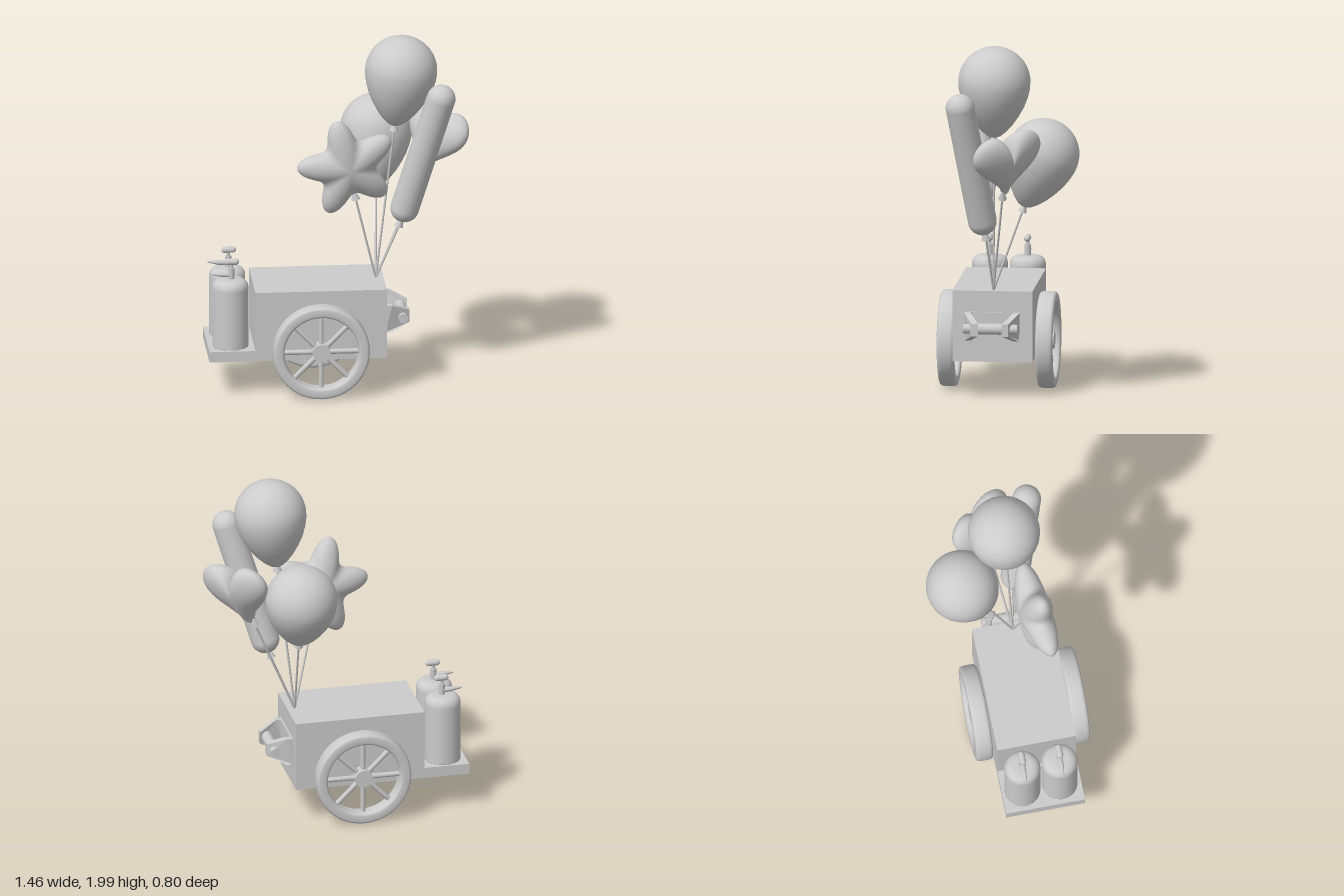
import * as THREE from 'three';
import { mergeVertices } from 'three/addons/utils/BufferGeometryUtils.js';

const mat = new THREE.MeshStandardMaterial({ color: 0xcccccc });
const V = (x, y, z) => new THREE.Vector3(x, y, z);
const UP = V(0, 1, 0);
const MID_Z = 0.077; // centre line of the cart
const ANCHOR = V(0.2, 0.605, 0.075); // where the strings meet

function add(parent, name, geometry, x = 0, y = 0, z = 0) {
  const mesh = new THREE.Mesh(geometry, mat);
  mesh.name = name;
  mesh.position.set(x, y, z);
  parent.add(mesh);
  return mesh;
}

function group(parent, name, x = 0, y = 0, z = 0) {
  const g = new THREE.Group();
  g.name = name;
  g.position.set(x, y, z);
  parent.add(g);
  return g;
}

function box(parent, name, x0, x1, y0, y1, z0, z1) {
  return add(parent, name, new THREE.BoxGeometry(x1 - x0, y1 - y0, z1 - z0),
    (x0 + x1) / 2, (y0 + y1) / 2, (z0 + z1) / 2);
}

// Cylinder or cone between two points
function rod(parent, name, a, b, ra, rb = ra, sides = 16) {
  const mesh = add(parent, name, new THREE.CylinderGeometry(rb, ra, a.distanceTo(b), sides));
  mesh.position.copy(a).lerp(b, 0.5);
  mesh.quaternion.setFromUnitVectors(UP, b.clone().sub(a).normalize());
  return mesh;
}

const lathe = (pts, sides = 32) =>
  new THREE.LatheGeometry(pts.map(([r, y]) => new THREE.Vector2(r, y)), sides);

// Spoked wheel with a fat rounded tyre
function wheel(parent, name, z) {
  const g = group(parent, name, -0.125, 0.275, z);
  const section = [];
  const sq = (v) => Math.sign(v) * Math.sqrt(Math.abs(v));
  for (let i = 0; i <= 24; i++) {
    const a = (i / 24) * Math.PI * 2;
    section.push([0.237 + 0.032 * sq(Math.cos(a)), 0.048 * sq(Math.sin(a))]);
  }
  add(g, 'tyre', lathe(section, 48)).rotation.x = Math.PI / 2;
  rod(g, 'hub', V(0, 0, -0.035), V(0, 0, 0.035), 0.05, 0.05, 24);
  for (let i = 0; i < 8; i++) {
    const a = (i * Math.PI) / 4;
    rod(g, 'spoke', V(0, 0, 0), V(0.215 * Math.cos(a), 0.215 * Math.sin(a), 0), 0.014, 0.014, 10);
  }
}

// Gas bottle with valve, nozzle and tap handle
function gasBottle(parent, z) {
  const g = group(parent, 'gasBottle', -0.615, 0.27, z);
  add(g, 'tank', lathe([[0, 0], [0.1, 0], [0.1, 0.002], [0.1, 0.335], [0.1, 0.343], [0.096, 0.36],
    [0.086, 0.374], [0.07, 0.384], [0.05, 0.388], [0, 0.388]]));
  rod(g, 'valve', V(0.005, 0.38, 0), V(0.005, 0.45, 0), 0.018);
  rod(g, 'stem', V(0.005, 0.44, 0), V(0.005, 0.485, 0), 0.01);
  rod(g, 'nozzle', V(0, 0.41, 0), V(-0.055, 0.412, 0), 0.014);
  rod(g, 'nozzleTip', V(-0.05, 0.412, 0), V(-0.108, 0.417, 0), 0.014, 0.005);
  const handle = add(g, 'tapHandle', new THREE.CapsuleGeometry(0.018, 0.045, 6, 16), 0.008, 0.485, 0);
  handle.rotation.z = Math.PI / 2;
}

// Tow hitch: two inward-leaning lugs holding a cross bar
function hitch(parent) {
  const g = group(parent, 'hitch', 0.24, 0.412, MID_Z);
  box(g, 'hitchPlate', 0, 0.012, -0.078, 0.078, -0.152, 0.152);
  const side = new THREE.Shape([[0, -0.077], [0.04, -0.077], [0.14, -0.035],
    [0.14, 0.035], [0.04, 0.077], [0, 0.077]].map(([x, y]) => new THREE.Vector2(x, y)));
  for (const s of [-1, 1]) {
    const geo = new THREE.ExtrudeGeometry(side, { depth: 0.036, bevelEnabled: false });
    geo.translate(0, 0, s > 0 ? 0.116 : -0.152);
    const p = geo.attributes.position;
    for (let i = 0; i < p.count; i++) {
      p.setZ(i, p.getZ(i) - s * 0.05 * Math.max(0, (p.getX(i) - 0.04) / 0.1));
    }
    geo.computeVertexNormals();
    add(g, 'hitchLug', geo);
    rod(g, 'hitchKnob', V(0.1, 0, s * 0.09), V(0.1, 0, s * 0.15), 0.027);
  }
  rod(g, 'hitchBar', V(0.1, 0, -0.1), V(0.1, 0, 0.1), 0.031);
}

// Pear-shaped balloon body, origin at its widest level
function roundBody() {
  const pts = [];
  for (const [r, y] of [[0.012, -0.32], [0.04, -0.308], [0.072, -0.28], [0.106, -0.24],
    [0.139, -0.19], [0.166, -0.14], [0.186, -0.085], [0.197, -0.04]]) pts.push([r, y]);
  for (let i = 0; i <= 14; i++) {
    const a = (i / 14) * Math.PI / 2;
    pts.push([0.2 * Math.cos(a), 0.198 * Math.sin(a)]);
  }
  return lathe(pts, 40);
}

// Foil balloon body: a sphere reshaped to a counter-clockwise outline
function foilBody(outline, halfThickness) {
  const geo = new THREE.SphereGeometry(1, 100, 32);
  const p = geo.attributes.position, uv = geo.attributes.uv;
  for (let i = 0; i < p.count; i++) {
    const [x, y] = outline(uv.getX(i) * Math.PI * 2);
    const c = p.getY(i), s = Math.sqrt(Math.max(0, 1 - c * c));
    p.setXYZ(i, x * s, y * s, c * halfThickness);
  }
  geo.deleteAttribute('uv');
  geo.deleteAttribute('normal');
  const smooth = mergeVertices(geo, 1e-5);
  smooth.computeVertexNormals();
  return smooth;
}

function star(t) {
  const r = 0.165 + 0.122 * Math.pow((1 + Math.cos(5 * t)) / 2, 1.25);
  return [-r * Math.sin(t), r * Math.cos(t)];
}

function heart(t) {
  const k = 0.0135;
  return [-16 * k * Math.sin(t) ** 3,
    k * (13 * Math.cos(t) - 5 * Math.cos(2 * t) - 2 * Math.cos(3 * t) - Math.cos(4 * t))];
}

// Balloon leaning along dir, its knot lying `drop` below the centre, tied to the anchor
function balloon(parent, name, body, centre, drop, yaw = 0, dir = centre.clone().sub(ANCHOR)) {
  dir.normalize();
  const g = group(parent, name, centre.x, centre.y, centre.z);
  g.quaternion.setFromUnitVectors(UP, dir);
  add(g, name + 'Body', body).rotation.y = yaw;
  rod(g, 'knot', V(0, -drop, 0), V(0, -drop + 0.045, 0), 0.025, 0.009);
  rod(parent, 'string', ANCHOR, centre.clone().addScaledVector(dir, -drop), 0.006, 0.006, 8);
}

export function createModel() {
  const model = new THREE.Group();
  model.name = 'balloonCart';

  // Cart
  box(model, 'cartBody', -0.485, 0.243, 0.21, 0.608, -0.145, 0.298);
  box(model, 'platform', -0.74, -0.485, 0.21, 0.27, -0.145, 0.298);
  rod(model, 'axle', V(-0.125, 0.275, -0.2), V(-0.125, 0.275, 0.36), 0.025);
  wheel(model, 'leftSideWheel', 0.352);
  wheel(model, 'rightSideWheel', -0.195);
  gasBottle(model, -0.03);
  gasBottle(model, 0.18);
  hitch(model);

  // Balloons
  const bunch = group(model, 'balloons');
  balloon(bunch, 'topBalloon', roundBody(), V(0.343, 1.802, 0.055), 0.35);
  balloon(bunch, 'backBalloon', roundBody(), V(0.226, 1.382, -0.205), 0.35);
  balloon(bunch, 'longBalloon', new THREE.CapsuleGeometry(0.08, 0.7, 12, 32),
    V(0.454, 1.355, 0.172), 0.465, 0, V(0.194, 0.67, 0.104));
  balloon(bunch, 'starBalloon', foilBody(star, 0.088), V(0.036, 1.287, 0.168), 0.205, 0.15);
  balloon(bunch, 'heartBalloon', foilBody(heart, 0.085), V(0.542, 1.4, -0.03), 0.26, -0.87);
  return model;
}
